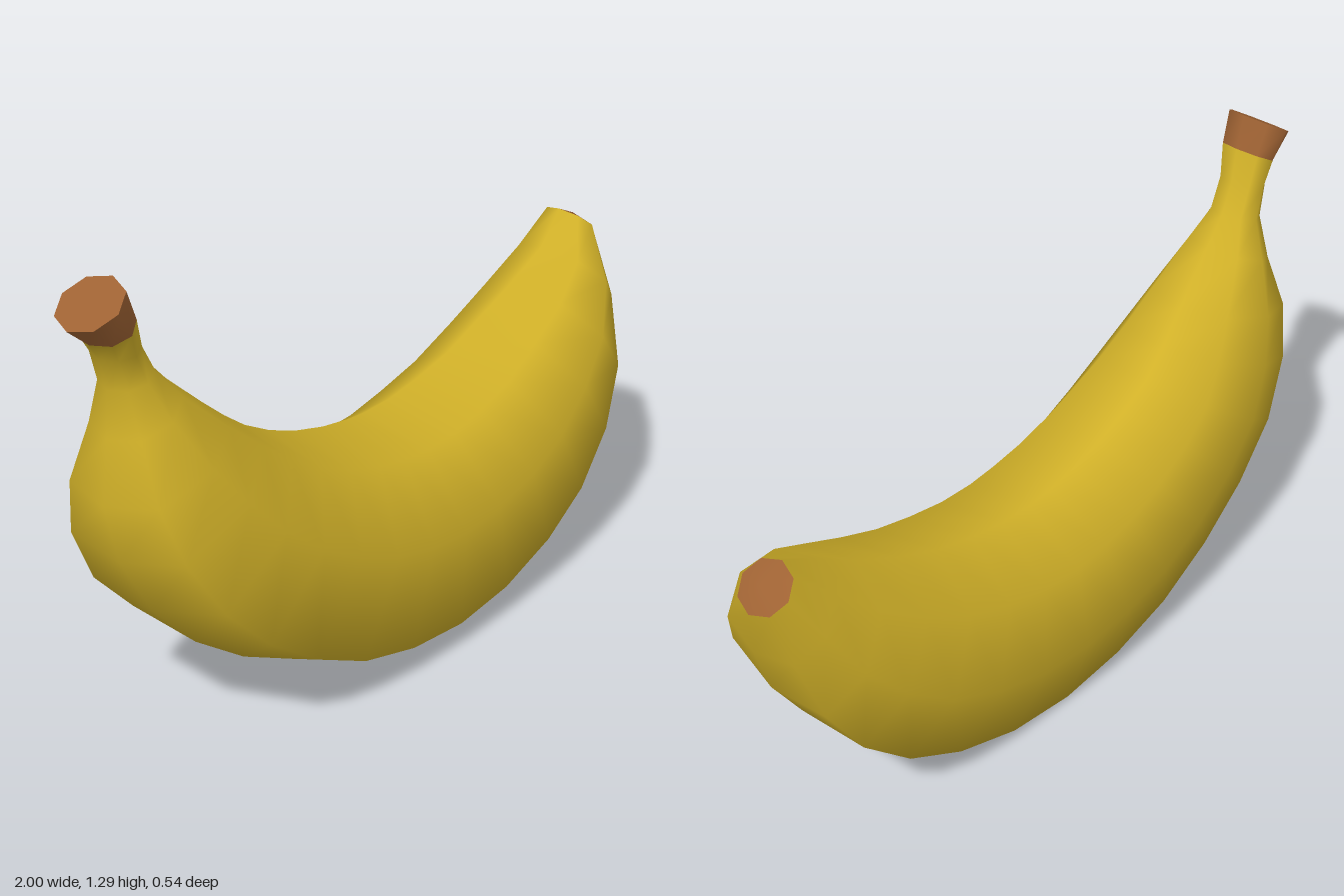
import * as THREE from 'three';

const peelYellow = new THREE.MeshStandardMaterial({ color: 0xd0b028 });
peelYellow.name = 'peelYellow';
const stemBrown = new THREE.MeshStandardMaterial({ color: 0x9e6233 });
stemBrown.name = 'stemBrown';

// Stations from stem to tip: outer x, outer y, inner x, inner y, half width, z centre
const STATIONS = [
  [-1.0, 1.21, -0.86, 1.295, 0.088, 0.017],
  [-0.935, 1.155, -0.83, 1.21, 0.08, 0.012],
  [-0.9, 1.105, -0.8, 1.125, 0.067, 0.0],
  [-0.875, 1.02, -0.755, 1.05, 0.07, -0.008],
  [-0.885, 0.9, -0.69, 0.98, 0.115, -0.01],
  [-0.92, 0.75, -0.56, 0.865, 0.17, -0.008],
  [-0.895, 0.6, -0.47, 0.79, 0.205, -0.005],
  [-0.81, 0.435, -0.39, 0.73, 0.235, -0.003],
  [-0.68, 0.29, -0.3, 0.68, 0.252, 0],
  [-0.52, 0.17, -0.2, 0.64, 0.262, 0],
  [-0.34, 0.075, -0.1, 0.612, 0.268, 0],
  [-0.14, 0.02, -0.01, 0.597, 0.272, 0],
  [0.07, 0.0, 0.07, 0.59, 0.272, 0],
  [0.28, 0.025, 0.17, 0.594, 0.27, 0],
  [0.48, 0.095, 0.28, 0.613, 0.267, 0],
  [0.65, 0.19, 0.4, 0.645, 0.255, 0],
  [0.79, 0.325, 0.53, 0.7, 0.235, -0.003],
  [0.89, 0.48, 0.66, 0.765, 0.205, -0.008],
  [0.96, 0.66, 0.78, 0.84, 0.15, -0.025],
  [1.0, 0.825, 0.89, 0.915, 0.075, -0.063],
];

// Ridged section of the fat middle: [outer-to-inner fraction, side fraction]
const RIDGED = [
  [0, 0.15], [0.13, 0.96], [0.6, 1], [0.93, 0.52],
  [1, -0.25], [0.8, -0.85], [0.4, -1], [0.02, -0.74],
];
const SIDES = RIDGED.length;

// One ring of points, round where narrow and ridged where wide
function ring([ox, oy, ix, iy, halfWidth, zc]) {
  const blend = THREE.MathUtils.smoothstep(halfWidth, 0.08, 0.24);
  return RIDGED.map(([ru, rw], j) => {
    const a = (j / SIDES) * Math.PI * 2;
    const u = THREE.MathUtils.lerp(0.5 - 0.5 * Math.cos(a), ru, blend);
    const w = THREE.MathUtils.lerp(Math.sin(a), rw, blend);
    return new THREE.Vector3(ox + (ix - ox) * u, oy + (iy - oy) * u, zc + halfWidth * w);
  });
}

// Smooth skin through all rings; the first band is the brown stem end
function makeSkin(rings) {
  const index = [];
  for (let i = 0; i < rings.length - 1; i++) {
    for (let j = 0; j < SIDES; j++) {
      const k = (j + 1) % SIDES;
      const a = i * SIDES + j, c = i * SIDES + k;
      const b = a + SIDES, d = c + SIDES;
      index.push(a, b, c, b, d, c);
    }
  }
  const geometry = new THREE.BufferGeometry().setFromPoints(rings.flat());
  geometry.setIndex(index);
  geometry.computeVertexNormals();
  geometry.addGroup(0, SIDES * 6, 1);
  geometry.addGroup(SIDES * 6, index.length - SIDES * 6, 0);
  return new THREE.Mesh(geometry, [peelYellow, stemBrown]);
}

// Fan closing an end ring, its centre pushed out by a small bulge
function makeCap(points, bulge, flip) {
  const centre = new THREE.Vector3();
  points.forEach((p) => centre.addScaledVector(p, 1 / SIDES));
  centre.add(bulge);
  const index = [];
  for (let j = 0; j < SIDES; j++) {
    const k = (j + 1) % SIDES;
    index.push(SIDES, flip ? k : j, flip ? j : k);
  }
  const geometry = new THREE.BufferGeometry().setFromPoints([...points, centre]);
  geometry.setIndex(index);
  geometry.computeVertexNormals();
  return new THREE.Mesh(geometry, stemBrown);
}

export function createModel() {
  const group = new THREE.Group();
  group.name = 'banana';
  const rings = STATIONS.map(ring);

  const skin = makeSkin(rings);
  skin.name = 'peel';

  const stemEnd = makeCap(rings[0], new THREE.Vector3(), false);
  stemEnd.name = 'stemEnd';

  const tip = makeCap(rings[rings.length - 1], new THREE.Vector3(0.012, 0.014, 0), true);
  tip.name = 'blossomTip';

  group.add(skin, stemEnd, tip);
  return group;
}
